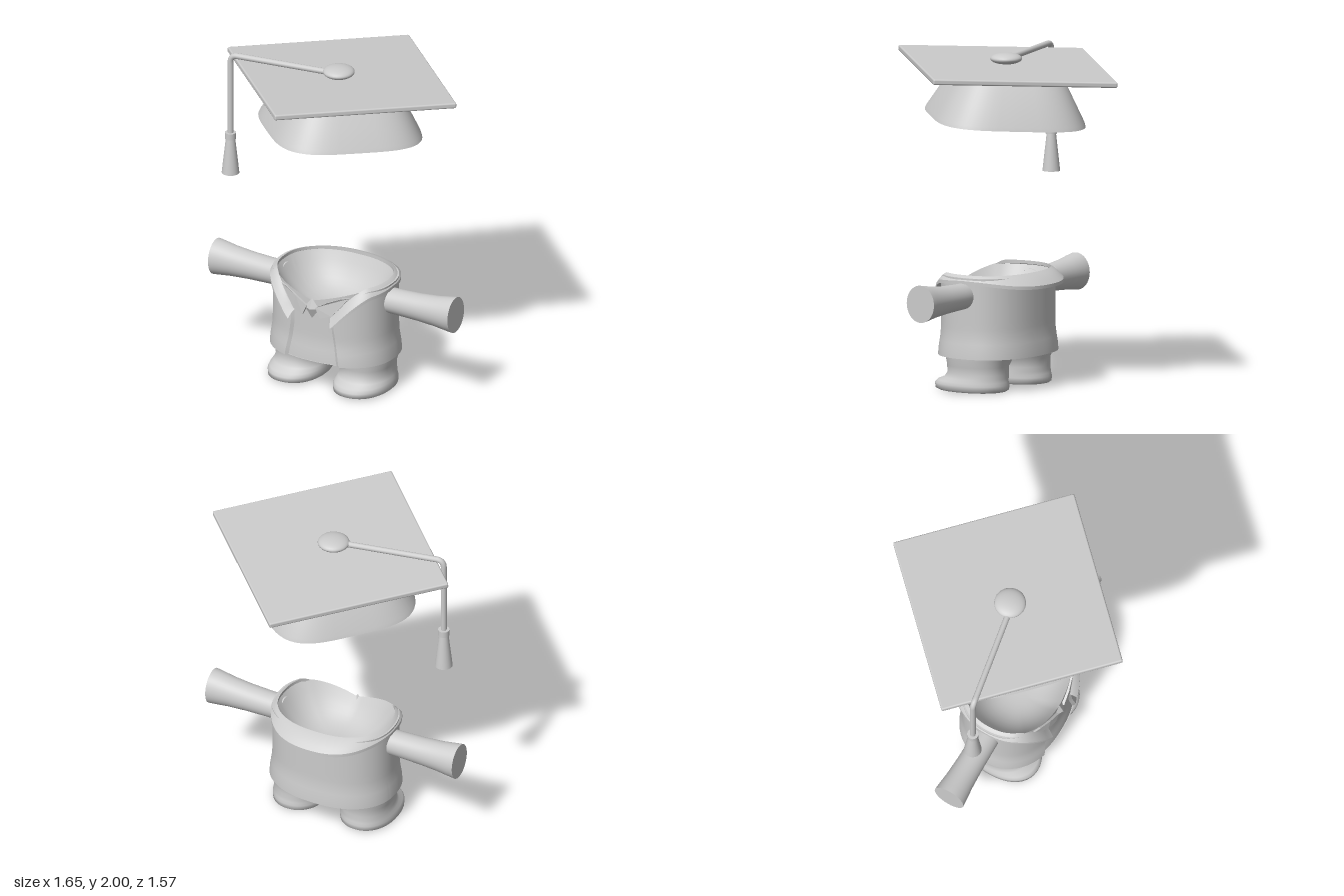
import * as THREE from 'three';
import { toCreasedNormals } from 'three/addons/utils/BufferGeometryUtils.js';
import { RoundedBoxGeometry } from 'three/addons/geometries/RoundedBoxGeometry.js';
import { ParametricGeometry } from 'three/addons/geometries/ParametricGeometry.js';

const grey = new THREE.MeshStandardMaterial({ color: 0xcccccc, side: THREE.DoubleSide });
const { clamp, lerp, smoothstep } = THREE.MathUtils;
const TAU = Math.PI * 2;

function add(parent, name, geometry, x = 0, y = 0, z = 0) {
  const mesh = new THREE.Mesh(geometry, grey);
  mesh.name = name;
  mesh.position.set(x, y, z);
  parent.add(mesh);
  return mesh;
}

// Smooth surface from fn(u, v) -> [x, y, z], with sharp edges kept
function surface(fn, nu, nv, crease = 0.6) {
  return toCreasedNormals(new ParametricGeometry((u, v, p) => p.set(...fn(u, v)), nu, nv), crease);
}

// Unit superellipse; angle 0 points to the front
function oval(a, n) {
  const f = (c) => Math.sign(c) * Math.abs(c) ** (2 / n);
  return [f(Math.sin(a)), f(Math.cos(a))];
}

// Piecewise blend through rows of numbers
function sample(rows, v) {
  const t = v * (rows.length - 1), i = Math.min(Math.floor(t), rows.length - 2);
  return rows[i].map((q, k) => lerp(q, rows[i + 1][k], t - i));
}

// Torso outline, neckline of the jacket and neckline of the shirt
const bodyX = (y) => 0.38 + 0.016 * (1 - smoothstep(y, 0.21, 0.36));
function bodyPoint(a, y, scale = 1) {
  const [ox, oz] = oval(a, 2.3), r = bodyX(y);
  return [ox * r * scale, y, 0.07 + oz * (r - 0.09) * scale];
}
function rim(a) {
  const x = Math.abs(oval(a, 2.3)[0]) * 0.38;
  if (Math.cos(a) < 0) return 0.69;
  if (x < 0.13) return 0.475 + 0.025 * x / 0.13;
  return 0.5 + 0.19 * (1 - (1 - clamp((x - 0.13) / 0.2, 0, 1)) ** 1.4);
}
function shirtRim(a) {
  if (Math.cos(a) < 0) return 0.685;
  return lerp(0.6, 0.685, clamp(Math.abs(oval(a, 2.3)[0]) * 1.3, 0, 1));
}

function buildCap() {
  const cap = new THREE.Group();
  cap.name = 'graduationCap';
  const tilt = new THREE.Group();
  tilt.name = 'tiltedBoard';
  tilt.position.y = 1.921;
  tilt.rotation.x = -0.063;
  cap.add(tilt);
  add(tilt, 'capBoard', new RoundedBoxGeometry(1.118, 0.034, 1.118, 2, 0.01)).rotation.y = Math.PI / 4;

  // Crown: rounded square turned like the board; rows of [y, centre z, corner reach]
  const crownRows = [[1.612, 0.02, 0], [1.612, 0.02, 0.53], [1.635, 0.018, 0.52], [1.75, 0.008, 0.448],
    [1.86, 0, 0.38], [1.885, 0, 0.36], [1.915, 0, 0.315]];
  add(cap, 'capCrown', surface((u, v) => {
    const [y, cz, reach] = sample(crownRows, v);
    const [p, q] = oval(u * TAU, 3.6), k = reach * 0.606;
    const z = cz + (q - p) * k;
    return [(p + q) * k, y + 0.07 * z, z];
  }, 64, crownRows.length - 1));
  add(cap, 'capButton', new THREE.SphereGeometry(0.095, 32, 16), -0.01, 1.966, 0.02).scale.y = 0.36;

  // Cord across the board, bending down to the tassel
  const path = new THREE.CurvePath();
  const p = [[-0.02, 1.958, 0.035], [-0.64, 1.97, 0.145], [-0.68, 1.968, 0.15], [-0.68, 1.92, 0.15], [-0.68, 1.44, 0.15]]
    .map((q) => new THREE.Vector3(...q));
  path.add(new THREE.LineCurve3(p[0], p[1]));
  path.add(new THREE.QuadraticBezierCurve3(p[1], p[2], p[3]));
  path.add(new THREE.LineCurve3(p[3], p[4]));
  add(cap, 'tasselCord', new THREE.TubeGeometry(path, 120, 0.018, 12));
  add(cap, 'tasselBand', new THREE.CylinderGeometry(0.034, 0.034, 0.04, 24), -0.68, 1.443, 0.15);
  add(cap, 'tassel', new THREE.CylinderGeometry(0.028, 0.053, 0.225, 24), -0.68, 1.3125, 0.15);
  return cap;
}

function buildTorso() {
  const torso = new THREE.Group();
  torso.name = 'torso';
  add(torso, 'shirt', surface((u, v) => {
    const a = u * TAU;
    return bodyPoint(a, lerp(0.21, shirtRim(a), v), 0.965);
  }, 96, 10));
  add(torso, 'neckBowl', surface((u, v) => {
    const a = u * TAU, edge = bodyPoint(a, shirtRim(a), 0.965);
    return [edge[0] * v, lerp(0.46, edge[1], v ** 3), 0.07 + (edge[2] - 0.07) * v];
  }, 96, 10));
  add(torso, 'torsoBottom', surface((u, v) => {
    const q = bodyPoint(u * TAU, 0.212, 0.98);
    return [q[0] * v, 0.212, 0.07 + (q[2] - 0.07) * v];
  }, 64, 2));

  // Jacket wall wraps from one front edge round the back to the other
  add(torso, 'jacket', surface((u, v) => {
    const k = v * 13, y01 = clamp((k - 1) / 11, 0, 1);
    const start = lerp(0.38, 0.29, Math.min(1, y01 * 1.3));
    const a = lerp(start, TAU - start, u);
    const edge = Math.min(1, Math.min(u, 1 - u) / 0.007);
    const inner = k < 0.5 || k > 12.5;
    return bodyPoint(a, lerp(0.205, rim(a), y01), inner ? 0.95 : lerp(0.95, 1.015, edge));
  }, 130, 13));

  // Collar and lapels: a folded band with a closed cross-section
  add(torso, 'collar', surface((u, v) => {
    const a = lerp(0.28, TAU - 0.28, u), c = Math.cos(a);
    const k = Math.round(v * 8) % 8;
    const across = [0, 0.35, 0.75, 1, 1, 0.75, 0.35, 0][k];
    const thick = 0.02 * Math.min(1, Math.min(u, 1 - u) / 0.02);
    const out = 1.03 + (c > 0 ? 0.13 * c * c : 0.27 * c ** 4);
    const drop = c > 0 ? 0.03 + 0.02 * c : 0.03 + 0.035 * c * c;
    const q = bodyPoint(a, 0.5, lerp(0.93 + 0.06 * Math.max(0, c) ** 2, out, across));
    q[0] = clamp(q[0], -0.398, 0.398);
    q[1] = rim(a) + 0.014 - drop * across ** 1.5 - (k > 3 ? thick : 0);
    return q;
  }, 110, 8));

  // Shirt collar wings bent to follow the chest, plus the knot
  for (const s of [-1, 1]) {
    const outline = [[0.03, 0.565], [0.06, 0.5], [0.13, 0.525], [0.18, 0.58], [0.23, 0.65], [0.19, 0.645], [0.11, 0.61]];
    const shape = new THREE.Shape(outline.map(([x, y]) => new THREE.Vector2(s * x, y)));
    const g = new THREE.ExtrudeGeometry(shape, { depth: 0.018, bevelEnabled: false });
    const pos = g.attributes.position;
    for (let i = 0; i < pos.count; i++) {
      pos.setZ(i, pos.getZ(i) + 0.35 - 0.95 * pos.getX(i) ** 2);
    }
    g.computeVertexNormals();
    add(torso, s > 0 ? 'leftShirtCollar' : 'rightShirtCollar', g);
  }
  add(torso, 'tieKnot', new THREE.OctahedronGeometry(1), 0, 0.552, 0.352).scale.set(0.05, 0.065, 0.028);
  return torso;
}

export function createModel() {
  const model = new THREE.Group();
  model.name = 'graduateOutfit';
  model.add(buildCap(), buildTorso());

  // Sleeves: rows of [x, centre y, radius y, radius z]
  const sleeveRows = [[0.34, 0.58, 0.077, 0.078], [0.45, 0.58, 0.079, 0.079], [0.58, 0.581, 0.084, 0.081],
    [0.7, 0.583, 0.094, 0.087], [0.78, 0.585, 0.106, 0.095], [0.825, 0.586, 0.112, 0.098], [0.825, 0.586, 0, 0]];
  // Legs and feet: rows of [y, centre x, centre z, radius x, radius z]
  const legRows = [[0, 0.225, 0.1, 0, 0], [0, 0.225, 0.1, 0.155, 0.215], [0.01, 0.225, 0.104, 0.17, 0.232],
    [0.04, 0.225, 0.104, 0.171, 0.234], [0.058, 0.224, 0.098, 0.167, 0.222], [0.078, 0.222, 0.075, 0.162, 0.197],
    [0.105, 0.22, 0.066, 0.157, 0.187], [0.15, 0.218, 0.066, 0.162, 0.187], [0.19, 0.21, 0.062, 0.18, 0.2],
    [0.24, 0.2, 0.06, 0.19, 0.21]];
  for (const s of [-1, 1]) {
    const side = s > 0 ? 'left' : 'right';
    add(model, side + 'Sleeve', surface((u, v) => {
      const [x, cy, ry, rz] = sample(sleeveRows, v);
      return [s * x, cy + ry * Math.cos(u * TAU), 0.07 + s * rz * Math.sin(u * TAU)];
    }, 40, 6));
    add(model, side + 'Leg', surface((u, v) => {
      const [y, cx, cz, rx, rz] = sample(legRows, v);
      const [ox, oz] = oval(u * TAU, 2.2);
      return [s * (cx + ox * rx), y, cz + oz * rz];
    }, 56, legRows.length - 1, 1.2));
  }
  add(model, 'hips', new THREE.SphereGeometry(1, 32, 16), 0, 0.235, 0.06).scale.set(0.3, 0.05, 0.18);
  return model;
}
